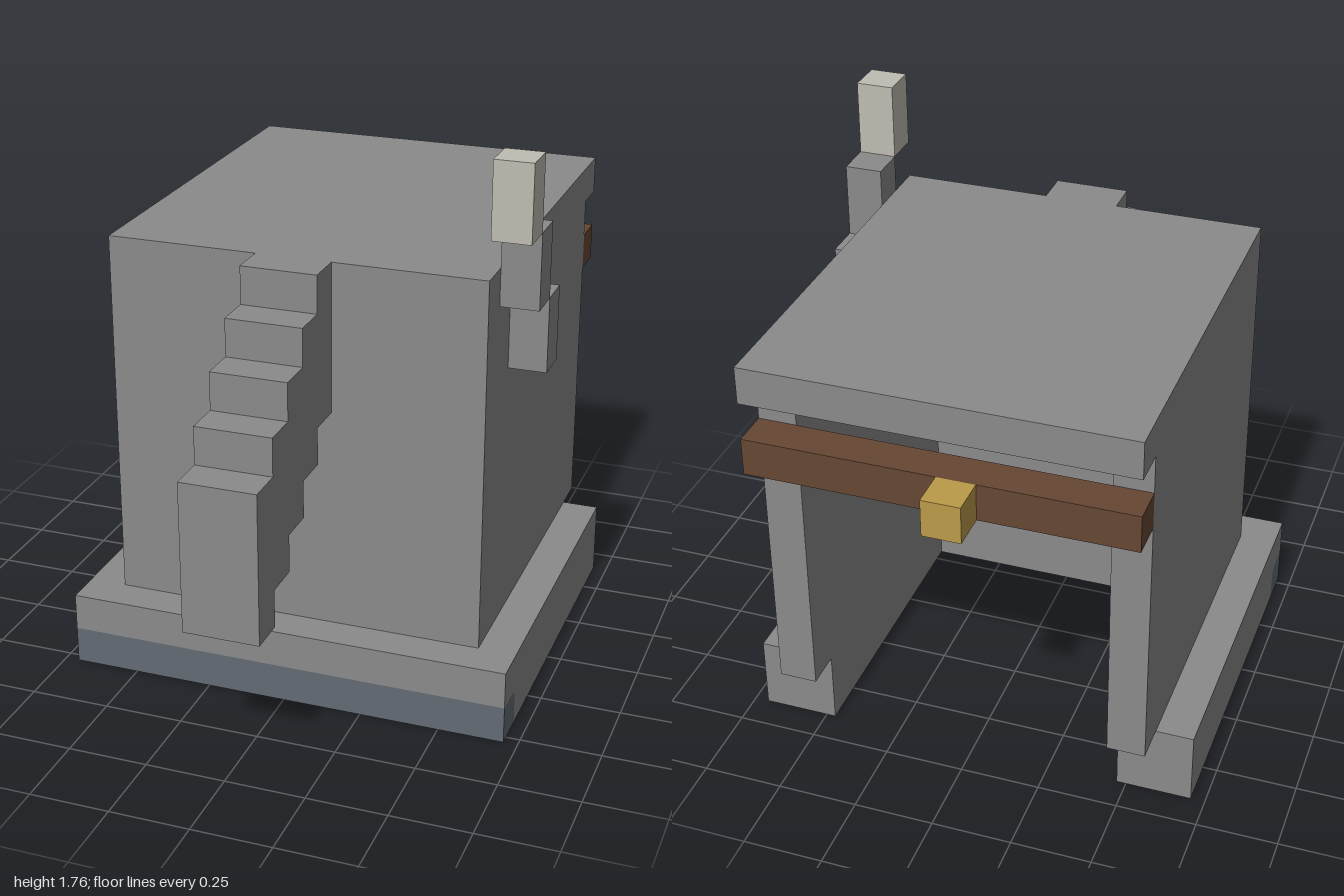
import * as THREE from 'three';

const U = 2 / 17; // one block

const material = (name, color) => {
  const m = new THREE.MeshStandardMaterial({ color });
  m.name = name;
  return m;
};

export function createModel() {
  const group = new THREE.Group();
  const stone = material('grey stone', 0x8a8a8a);
  const slate = material('dark slate', 0x626a73);
  const paleStone = material('pale stone', 0xc0bcb2);
  const wood = material('brown wood', 0x664733);
  const gold = material('gold', 0xba9b48);

  // All sizes are in blocks, counted from the right, bottom, back corner.
  const add = (name, geometry, mat) => {
    geometry.translate(-6, 0, -8.5).scale(U, U, U);
    const mesh = new THREE.Mesh(geometry, mat);
    mesh.name = name;
    group.add(mesh);
  };
  const box = (name, mat, [x0, x1], [y0, y1], [z0, z1]) => {
    const g = new THREE.BoxGeometry(x1 - x0, y1 - y0, z1 - z0);
    add(name, g.translate((x0 + x1) / 2, (y0 + y1) / 2, (z0 + z1) / 2), mat);
  };
  // Plan outline open at the back, raised from y0 to y1
  const uShape = (name, mat, [x0, x1], [y0, y1], back, front) => {
    const pts = [[x0, back], [x0, front], [x1, front], [x1, back],
      [10, back], [10, 11], [2, 11], [2, back]];
    const shape = new THREE.Shape(pts.map(([x, z]) => new THREE.Vector2(x, -z)));
    const g = new THREE.ExtrudeGeometry(shape, { depth: y1 - y0, bevelEnabled: false });
    add(name, g.rotateX(-Math.PI / 2).translate(0, y0, 0), mat);
  };
  // Side outline (z, y) extended across x
  const sideShape = (name, mat, [x0, x1], shape) => {
    const g = new THREE.ExtrudeGeometry(shape, { depth: x1 - x0, bevelEnabled: false, curveSegments: 4 });
    add(name, g.rotateY(-Math.PI / 2).translate(x1, 0, 0), mat);
  };

  // Base with a slate strip along the lower front
  uShape('base', stone, [0, 12], [0, 2], 3, 12);
  const r = 0.3;
  const strip = new THREE.Shape();
  strip.moveTo(12, 0).lineTo(13, 0).lineTo(13, 1).lineTo(12 + r, 1);
  strip.quadraticCurveTo(12, 1, 12, 1 - r);
  sideShape('frontStrip', slate, [0, 12], strip);
  const ledge = new THREE.Shape();
  ledge.moveTo(12, 1 - r).quadraticCurveTo(12, 1, 12 + r, 1);
  ledge.lineTo(13, 1).lineTo(13, 2).lineTo(12, 2);
  sideShape('frontLedge', stone, [0, 12], ledge);

  // Hollow body and overhanging roof
  uShape('walls', stone, [1, 11], [2, 11], 2, 12);
  box('roof', stone, [1, 11], [11, 12], [1, 12]);

  // Descending stepped arm on the front
  const upper = [], lower = [];
  for (let i = 0; i < 5; i++) {
    upper.push(new THREE.Vector2(12 + i, 12 - i), new THREE.Vector2(13 + i, 12 - i));
    lower.unshift(new THREE.Vector2(13 + i, 8 - i), new THREE.Vector2(12 + i, 8 - i));
  }
  sideShape('frontSteps', stone, [5, 7], new THREE.Shape([...upper, ...lower]));

  // Rising lever on the left side
  for (let i = 0; i < 3; i++) {
    box(i < 2 ? 'leverArm' : 'leverTip', i < 2 ? stone : paleStone,
      [11, 12], [9 + 2 * i, 11 + 2 * i], [9 + i, 10 + i]);
  }

  // Beam and knob across the open back
  box('backBeam', wood, [1, 11], [9, 10], [1, 2]);
  box('backKnob', gold, [5, 6], [9, 10], [0, 1]);

  return group;
}
